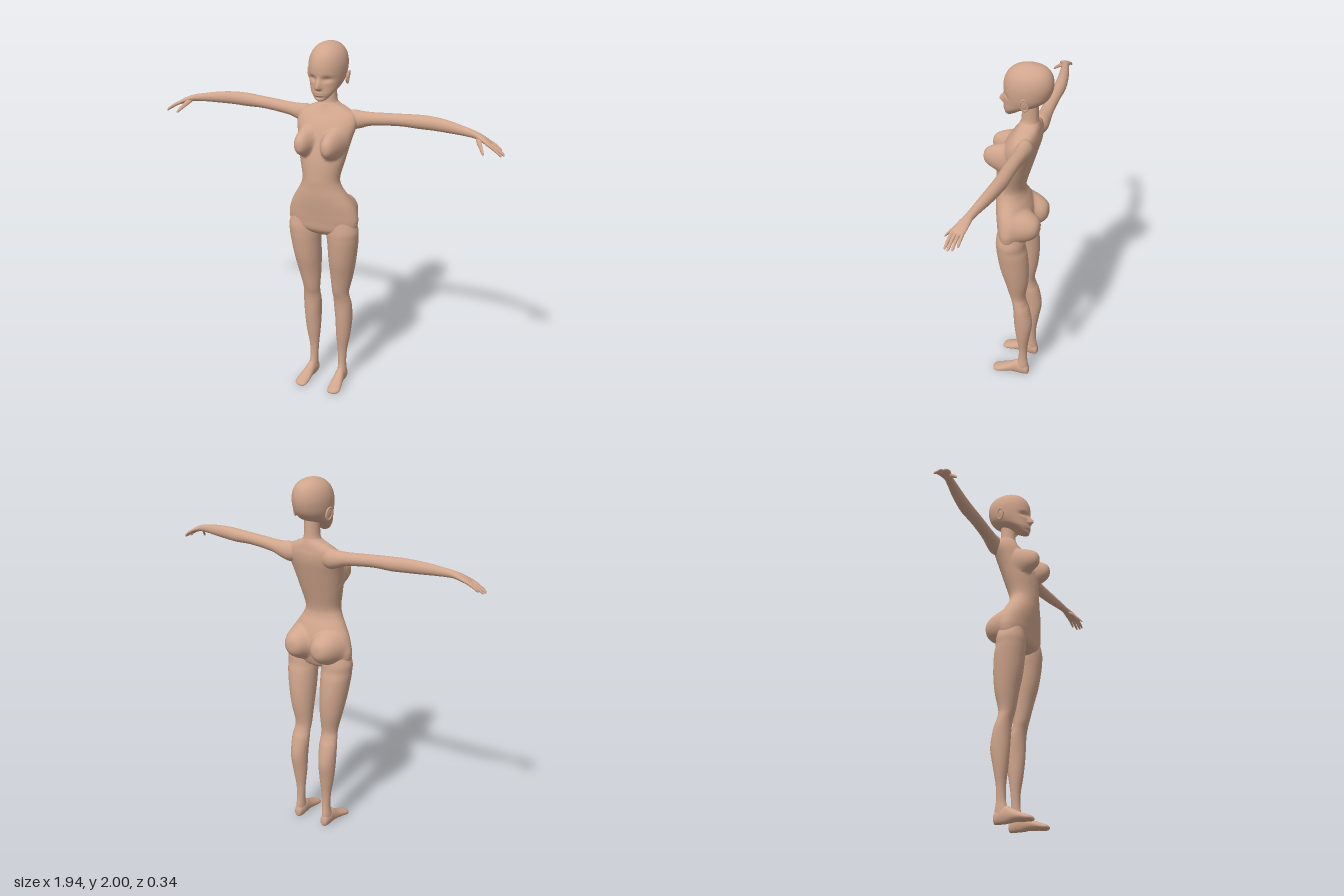
import * as THREE from 'three';

const skin = new THREE.MeshStandardMaterial({ color: 0xd0a58c });
skin.name = 'skin';

// Catmull-Rom blend of neighbouring rows of numbers
function refine(rows, steps) {
  const out = [];
  const at = (i) => rows[Math.max(0, Math.min(rows.length - 1, i))];
  for (let i = 0; i < rows.length - 1; i++) {
    for (let s = 0; s < steps; s++) {
      const t = s / steps;
      out.push(rows[i].map((b, k) => {
        const a = at(i - 1)[k], c = at(i + 1)[k], d = at(i + 2)[k];
        return b + 0.5 * t * (c - a + t * (2 * a - 5 * b + 4 * c - d + t * (3 * (b - c) + d - a)));
      }));
    }
  }
  out.push(rows[rows.length - 1]);
  return out;
}

// Smooth closed skin over elliptical sections. Row: centre x, y, z, then the two radii.
// The sections lie across the given axis; "shape" may move each vertex.
function loft(name, axis, rows, { side = 1, segs = 40, steps = 6, shape } = {}) {
  const [u, v] = { x: ['y', 'z'], y: ['x', 'z'], z: ['x', 'y'] }[axis];
  const pos = [], index = [], p = new THREE.Vector3();
  const fine = refine(rows, steps), n = fine.length;
  const add = () => {
    if (shape) shape(p);
    pos.push(p.x * side, p.y, p.z);
  };
  for (const [x, y, z, ru, rv] of fine) {
    for (let j = 0; j < segs; j++) {
      const a = (j / segs) * Math.PI * 2;
      p.set(x, y, z);
      p[u] += Math.cos(a) * Math.max(ru, 0.001);
      p[v] += Math.sin(a) * Math.max(rv, 0.001);
      add();
    }
  }
  for (const r of [fine[0], fine[n - 1]]) {
    p.set(r[0], r[1], r[2]);
    add();
  }
  for (let j = 0; j < segs; j++) {
    const k = (j + 1) % segs, last = (n - 1) * segs;
    for (let i = 0; i < n - 1; i++) {
      const a = i * segs + j, b = i * segs + k;
      index.push(a, a + segs, b, b, a + segs, b + segs);
    }
    index.push(n * segs, j, k, n * segs + 1, last + k, last + j);
  }
  // turn all faces outward
  const A = new THREE.Vector3(), B = new THREE.Vector3(), C = new THREE.Vector3();
  const origin = new THREE.Vector3(pos[0], pos[1], pos[2]);
  let volume = 0;
  for (let i = 0; i < index.length; i += 3) {
    [A, B, C].forEach((w, k) => w.fromArray(pos, index[i + k] * 3).sub(origin));
    volume += A.dot(B.cross(C));
  }
  if (volume < 0) index.reverse();
  const g = new THREE.BufferGeometry();
  g.setAttribute('position', new THREE.Float32BufferAttribute(pos, 3));
  g.setIndex(index);
  g.computeVertexNormals();
  const mesh = new THREE.Mesh(g, skin);
  mesh.name = name;
  return mesh;
}

// Upright section from: y, half width, front z, back z, centre x
const upright = ([y, w, zf, zb, x = 0]) => [x, y, (zf + zb) / 2, w, (zf - zb) / 2];

const smoothMax = (a, b, k) => {
  const h = Math.max(k - Math.abs(a - b), 0) / k;
  return Math.max(a, b) + h * h * k * 0.25;
};
const dome = (x, y, cx, cy, rx, ry, base, height) => {
  const r = Math.hypot((x - cx) / rx, (y - cy) / ry);
  return base + height * (1 - r ** 3);
};
const bell = (d, w) => Math.exp(-((d / w) ** 2));

// Chest and seat forms rise from the plain torso
function shapeTorso(p) {
  const x = Math.abs(p.x);
  if (p.y > 1.36 && p.y < 1.64 && p.z > 0) {
    p.z = smoothMax(p.z, dome(x, p.y, 0.075, 1.485, 0.06, 0.085, 0.06, 0.113), 0.018);
  }
  if (p.y > 0.94 && p.y < 1.25 && p.z < 0.01) {
    p.z = -smoothMax(-p.z, dome(x, p.y, 0.085, 1.085, 0.095, 0.1, 0.03, 0.106), 0.02);
  }
}

// Nose, eye sockets, lips and chin
function shapeFace(p) {
  if (p.z < 0) return;
  const { x, y } = p;
  const t = (1.845 - y) / 0.06;
  const ridge = t < 0 ? 0 : t < 1 ? t * t * (3 - 2 * t) : bell(t - 1, 0.2);
  p.z += 0.029 * ridge * bell(x, 0.009 + 0.006 * Math.min(Math.max(t, 0), 1));
  p.z -= 0.013 * bell(Math.abs(x) - 0.04, 0.024) * bell(y - 1.828, 0.014);
  p.z += 0.006 * bell(x, 0.02) * (bell(y - 1.757, 0.006) + bell(y - 1.744, 0.006));
  p.z -= 0.005 * bell(x, 0.025) * bell(y - 1.733, 0.007);
}

export function createModel() {
  const model = new THREE.Group();
  model.name = 'figure';

  model.add(loft('torso', 'y', [
    [0.955, 0.03, 0.05, -0.02], [0.97, 0.12, 0.075, -0.04], [1.0, 0.185, 0.1, -0.055],
    [1.05, 0.202, 0.108, -0.068], [1.1, 0.194, 0.115, -0.075], [1.15, 0.174, 0.122, -0.07],
    [1.2, 0.143, 0.127, -0.052], [1.25, 0.114, 0.128, -0.031], [1.3, 0.105, 0.128, -0.031],
    [1.4, 0.128, 0.12, -0.06], [1.5, 0.15, 0.095, -0.09], [1.56, 0.165, 0.073, -0.107],
    [1.6, 0.165, 0.05, -0.112], [1.63, 0.15, 0.027, -0.11], [1.655, 0.105, 0.01, -0.107],
    [1.675, 0.06, 0, -0.102], [1.7, 0.043, -0.008, -0.096], [1.79, 0.04, -0.01, -0.094],
  ].map(upright), { segs: 96, steps: 8, shape: shapeTorso }));

  model.add(loft('head', 'y', [
    [1.711, 0.014, 0.074, 0.045], [1.722, 0.033, 0.08, 0.025], [1.75, 0.058, 0.083, -0.02],
    [1.77, 0.072, 0.083, -0.072], [1.79, 0.082, 0.082, -0.115], [1.82, 0.092, 0.082, -0.148],
    [1.86, 0.098, 0.085, -0.166], [1.9, 0.098, 0.082, -0.172], [1.94, 0.088, 0.068, -0.165],
    [1.97, 0.068, 0.042, -0.145], [1.99, 0.04, 0.005, -0.11], [2.0, 0.006, -0.042, -0.058],
  ].map(upright), { segs: 128, steps: 10, shape: shapeFace }));

  for (const side of [1, -1]) {
    const tag = side > 0 ? 'left' : 'right';

    // ear: flattened shell with a rim
    const ear = new THREE.Group();
    ear.name = tag + 'Ear';
    const shell = new THREE.Mesh(new THREE.SphereGeometry(1, 20, 14), skin);
    shell.scale.set(0.008, 0.034, 0.021);
    const rim = new THREE.Mesh(new THREE.TorusGeometry(0.02, 0.004, 8, 28), skin);
    rim.rotation.y = Math.PI / 2;
    rim.scale.set(0.95, 1.6, 1);
    rim.position.x = side * 0.006;
    ear.add(shell, rim);
    ear.position.set(side * 0.103, 1.823, -0.052);
    ear.rotation.set(0.12, side * 0.2, -side * 0.18);
    model.add(ear);

    model.add(loft(tag + 'Arm', 'x', [
      [0.08, 1.59, -0.055, 0.04, 0.035], [0.13, 1.594, -0.065, 0.053, 0.044],
      [0.18, 1.599, -0.068, 0.045, 0.04], [0.23, 1.608, -0.068, 0.036, 0.036],
      [0.3, 1.616, -0.067, 0.033, 0.034], [0.4, 1.624, -0.067, 0.032, 0.034],
      [0.5, 1.627, -0.067, 0.036, 0.034], [0.58, 1.629, -0.06, 0.035, 0.031],
      [0.66, 1.627, -0.047, 0.031, 0.028], [0.74, 1.622, -0.03, 0.024, 0.023],
      [0.8, 1.616, -0.017, 0.019, 0.021], [0.83, 1.609, -0.009, 0.017, 0.027],
      [0.865, 1.596, 0, 0.015, 0.032], [0.89, 1.584, 0.004, 0.011, 0.03],
      [0.9, 1.579, 0.005, 0.005, 0.024],
    ], { side }));

    // fingers, from the little finger forward: base z, tip x, tip z
    [[-0.02, 0.944, -0.016], [-0.003, 0.962, 0.005], [0.013, 0.968, 0.024], [0.028, 0.958, 0.042]]
      .forEach(([z, tx, tz], i) => {
        const ty = 1.54 + (i === 0 ? 0.012 : 0);
        const mix = (t, lift, r) => [0.87 + (tx - 0.87) * t, 1.593 + (ty - 1.593) * t + lift, z + (tz - z) * t, r * 1.1, r];
        model.add(loft(tag + 'Finger' + (i + 1), 'x', [
          mix(0, 0, 0.008), mix(0.35, 0.004, 0.0085), mix(0.65, 0.004, 0.0075),
          mix(0.92, 0.001, 0.006), mix(1, 0, 0.002),
        ], { side, segs: 12, steps: 4 }));
      });
    model.add(loft(tag + 'Thumb', 'z', [
      [0.825, 1.604, 0, 0.012, 0.012], [0.838, 1.59, 0.025, 0.013, 0.012],
      [0.855, 1.57, 0.047, 0.009, 0.01], [0.869, 1.553, 0.066, 0.007, 0.008],
      [0.875, 1.545, 0.074, 0.002, 0.003],
    ], { side, segs: 14, steps: 4 }));

    model.add(loft(tag + 'Leg', 'y', [
      [1.08, 0.07, 0.085, -0.04, 0.105], [1.0, 0.088, 0.098, -0.058, 0.113],
      [0.95, 0.088, 0.098, -0.062, 0.112], [0.9, 0.085, 0.094, -0.073, 0.111],
      [0.8, 0.076, 0.08, -0.08, 0.105], [0.7, 0.064, 0.055, -0.075, 0.098],
      [0.6, 0.049, 0.032, -0.058, 0.09], [0.55, 0.049, 0.017, -0.065, 0.093],
      [0.5, 0.052, 0.01, -0.083, 0.095], [0.4, 0.048, 0.005, -0.1, 0.097],
      [0.3, 0.041, -0.005, -0.086, 0.094], [0.2, 0.028, -0.019, -0.071, 0.09],
      [0.12, 0.023, -0.018, -0.07, 0.09], [0.07, 0.025, -0.005, -0.076, 0.092],
      [0.03, 0.026, 0, -0.076, 0.093],
    ].map(upright), { side, segs: 48 }));

    // foot: flat sole, slope from ankle to toes
    model.add(loft(tag + 'Foot', 'z', [
      [0.092, 0.025, -0.082, 0.01, 0.012], [0.092, 0.03, -0.073, 0.022, 0.034],
      [0.092, 0.038, -0.04, 0.028, 0.045], [0.093, 0.042, -0.005, 0.028, 0.046],
      [0.096, 0.034, 0.03, 0.031, 0.033], [0.1, 0.022, 0.075, 0.036, 0.023],
      [0.103, 0.013, 0.11, 0.036, 0.018], [0.1, 0.01, 0.13, 0.027, 0.012],
      [0.097, 0.008, 0.138, 0.012, 0.005],
    ], { side, shape: (p) => { p.y = Math.max(p.y, 0); } }));
  }
  return model;
}
